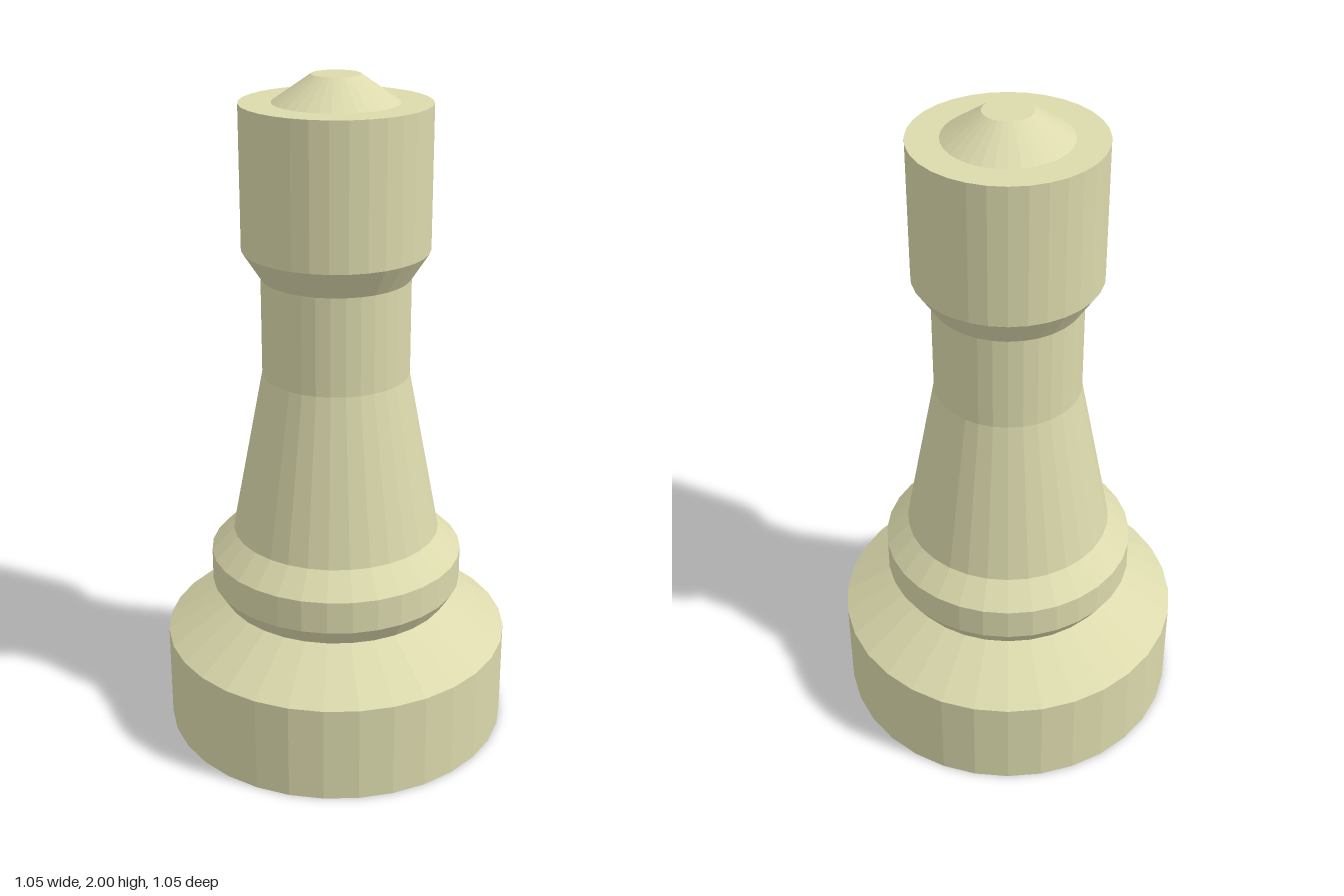
import * as THREE from 'three';

const SIDES = 32;

export function createModel() {
  const group = new THREE.Group();
  const ivory = new THREE.MeshStandardMaterial({ color: 0xdbd9ac, flatShading: true });
  ivory.name = 'ivory';

  // Each part is a turned section given as [radius, height] points, bottom to top
  const turn = (name, profile) => {
    const points = profile.map(([r, y]) => new THREE.Vector2(r, y));
    const mesh = new THREE.Mesh(new THREE.LatheGeometry(points, SIDES), ivory);
    mesh.name = name;
    group.add(mesh);
  };

  // Wide foot with closed underside and sloping shoulder
  turn('base', [[0, 0], [0.525, 0], [0.525, 0.297], [0.348, 0.415]]);
  // Bevelled ring above the foot
  turn('collar', [[0.348, 0.415], [0.382, 0.468], [0.382, 0.567], [0.313, 0.637]]);
  // Tapered body and straight neck
  turn('shaft', [[0.313, 0.637], [0.218, 1.135], [0.218, 1.427]]);
  // Flared head with flat rim
  turn('head', [[0.218, 1.427], [0.272, 1.51], [0.272, 1.924], [0.18, 1.924]]);
  // Low truncated cone on top
  turn('cap', [[0.18, 1.924], [0.07, 2], [0, 2]]);

  return group;
}
